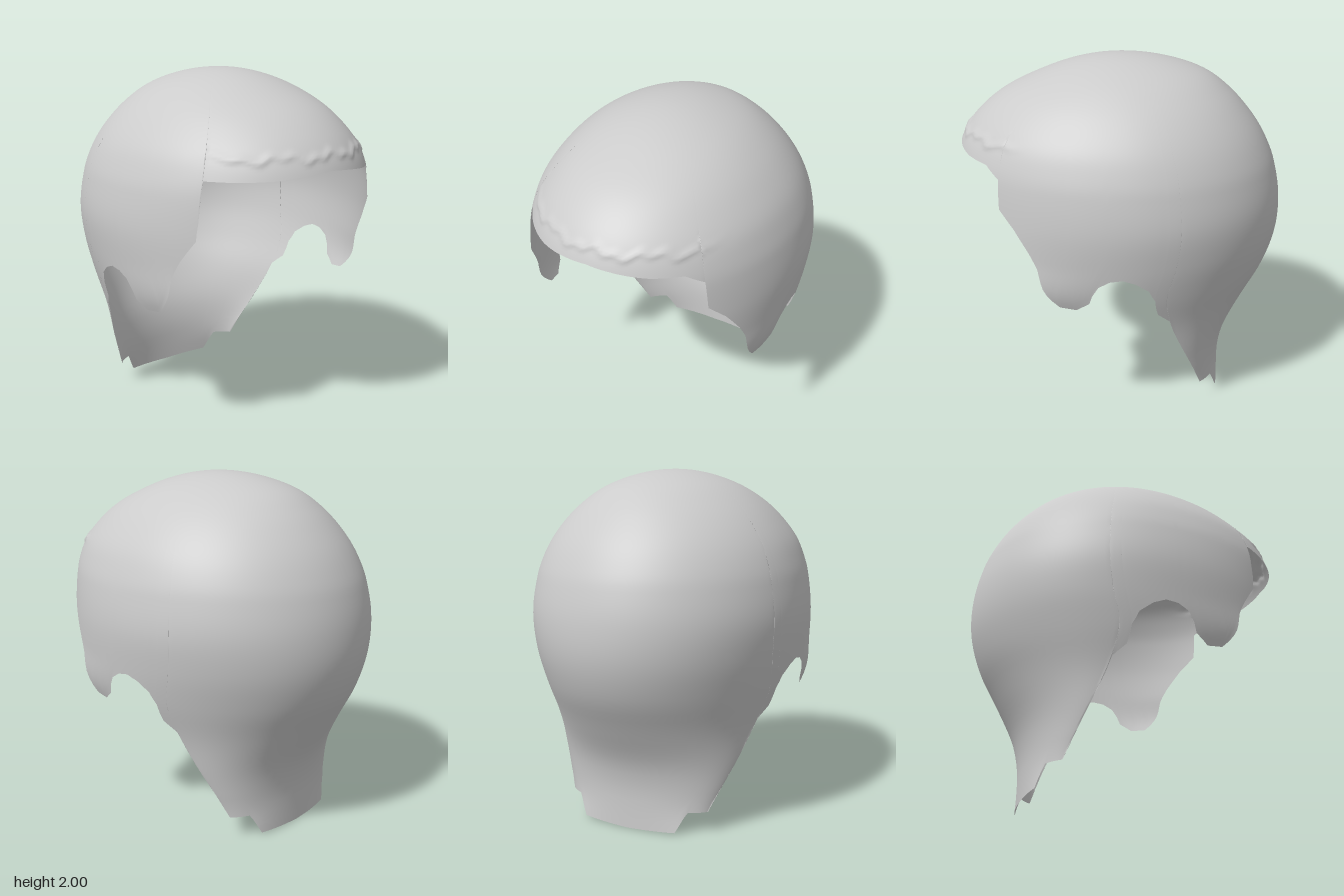
import * as THREE from 'three';
import { mergeVertices } from 'three/addons/utils/BufferGeometryUtils.js';

// Cross-sections of the cap: [y, half width, front z, back z, z of widest point]
const SECTIONS = [
  [2, 0, 0, 0, 0],
  [1.97, 0.21, 0.25, -0.27, 0],
  [1.9, 0.385, 0.46, -0.48, 0],
  [1.8, 0.525, 0.67, -0.62, -0.01],
  [1.7, 0.62, 0.8, -0.715, -0.02],
  [1.6, 0.69, 0.885, -0.79, -0.02],
  [1.5, 0.735, 0.93, -0.845, -0.03],
  [1.4, 0.765, 0.945, -0.885, -0.03],
  [1.2, 0.79, 0.95, -0.925, -0.03],
  [1.0, 0.775, 0.97, -0.92, 0],
  [0.8, 0.74, 1.03, -0.86, 0.04],
  [0.6, 0.665, 0.9, -0.75, -0.06],
  [0.4, 0.59, 0.7, -0.645, -0.22],
  [0.25, 0.52, 0.5, -0.607, -0.33],
  [0.12, 0.465, 0.3, -0.6, -0.4],
  [0, 0.49, 0.2, -0.6, -0.45],
];
// Sections are spaced by depth, so the crown stays round
const depth = y => Math.sqrt(Math.max(0, 2 - y));
const KNOTS = SECTIONS.map(s => depth(s[0]));

// Smooth (Hermite) interpolation of one section column at depth v
function sample(v, c) {
  const last = KNOTS.length - 1;
  let i = 0;
  while (i < last - 1 && v > KNOTS[i + 1]) i++;
  const slope = k => {
    const a = Math.max(0, k - 1), b = Math.min(last, k + 1);
    return (SECTIONS[b][c] - SECTIONS[a][c]) / (KNOTS[b] - KNOTS[a]);
  };
  const h = KNOTS[i + 1] - KNOTS[i], s = (v - KNOTS[i]) / h;
  const s2 = s * s, s3 = s2 * s;
  return (2 * s3 - 3 * s2 + 1) * SECTIONS[i][c] + (s3 - 2 * s2 + s) * h * slope(i)
    + (3 * s2 - 2 * s3) * SECTIONS[i + 1][c] + (s3 - s2) * h * slope(i + 1);
}

// Lower rim from the forehead to the nape as [z, y]: brow, temple, ear notch, nape
const BROW_LEFT = [[0.93, 1.525], [0.91, 1.515], [0.84, 1.495], [0.73, 1.487], [0.66, 1.43], [0.66, 1.27]];
const BROW_RIGHT = [[0.93, 1.525], [0.91, 1.515], [0.84, 1.495], [0.73, 1.487], [0.58, 1.487], [0.6, 1.27]];
const SIDE = [
  [0.58, 1.18], [0.5, 1.06], [0.455, 0.97], [0.43, 0.86], [0.34, 0.75], [0.25, 0.74],
  [0.18, 0.79], [0.13, 0.9], [0.07, 0.935], [0, 0.945], [-0.07, 0.92], [-0.14, 0.87],
  [-0.175, 0.8], [-0.19, 0.7], [-0.26, 0.64], [-0.285, 0.45], [-0.46, 0.125],
  [-0.53, 0.125], [-0.57, 0.01], [-0.6, 0],
];

// Turn rim points into [angle from the front, y], with in-between points
function rim(points) {
  let prev = -1;
  const coarse = points.map(([z, y], i) => {
    const v = depth(y), zc = sample(v, 4);
    const r = z > zc ? sample(v, 2) - zc : zc - sample(v, 3);
    let t = Math.acos(THREE.MathUtils.clamp((z - zc) / r, -1, 1));
    if (i === 0) t = 0;
    if (i === points.length - 1) t = Math.PI;
    prev = Math.max(t, prev + 0.002);
    return [prev, y];
  });
  const fine = [];
  for (let i = 0; i < coarse.length - 1; i++) {
    const [t0, y0] = coarse[i], [t1, y1] = coarse[i + 1];
    const n = Math.max(2, Math.ceil((t1 - t0) / 0.03));
    for (let k = 0; k < n; k++) fine.push([t0 + (t1 - t0) * k / n, y0 + (y1 - y0) * k / n]);
  }
  fine.push(coarse[coarse.length - 1]);
  return fine;
}

// Shallow uneven hairline crease across the forehead
function crease(x, y, z) {
  if (z < 0.4) return 0;
  const fade = THREE.MathUtils.smoothstep(0.58 - Math.abs(x), 0, 0.15);
  const line = 1.6 + 0.012 * Math.sin(23 * x + 1) + 0.01 * Math.sin(57 * x);
  return fade * 0.01 * Math.exp(-(((y - line) / 0.016) ** 2));
}

function pointOn(t, v) {
  const y = 2 - v * v, zc = sample(v, 4), c = Math.cos(t);
  const r = c > 0 ? sample(v, 2) - zc : zc - sample(v, 3);
  const x = sample(v, 1) * Math.sin(t), z = zc + r * c;
  const out = crease(x, y, z);
  return [x + out * Math.sin(t), y, z + out * c];
}

function capGeometry() {
  const left = rim([...BROW_LEFT, ...SIDE]);
  const right = rim([...BROW_RIGHT, ...SIDE]);
  // Full loop of columns: round the left to the nape, then back along the right
  const loop = [...left, ...right.slice(1, -1).reverse().map(([t, y]) => [2 * Math.PI - t, y])];
  const rows = 70, positions = [], index = [];
  loop.forEach(([t, y], i) => {
    const end = depth(y), next = (i + 1) % loop.length;
    for (let j = 0; j <= rows; j++) {
      positions.push(...pointOn(t, end * j / rows));
      if (j === rows) continue;
      const a = i * (rows + 1) + j, b = next * (rows + 1) + j;
      if (j > 0) index.push(a, a + 1, b);
      index.push(b, a + 1, b + 1);
    }
  });
  const geometry = new THREE.BufferGeometry();
  geometry.setAttribute('position', new THREE.Float32BufferAttribute(positions, 3));
  geometry.setIndex(index);
  const merged = mergeVertices(geometry, 1e-5);
  merged.computeVertexNormals();
  return merged;
}

export function createModel() {
  const group = new THREE.Group();
  group.name = 'hairCap';
  const material = new THREE.MeshStandardMaterial({ color: 0xcccccc, side: THREE.DoubleSide });
  const shell = new THREE.Mesh(capGeometry(), material);
  shell.name = 'hairShell';
  group.add(shell);
  return group;
}
